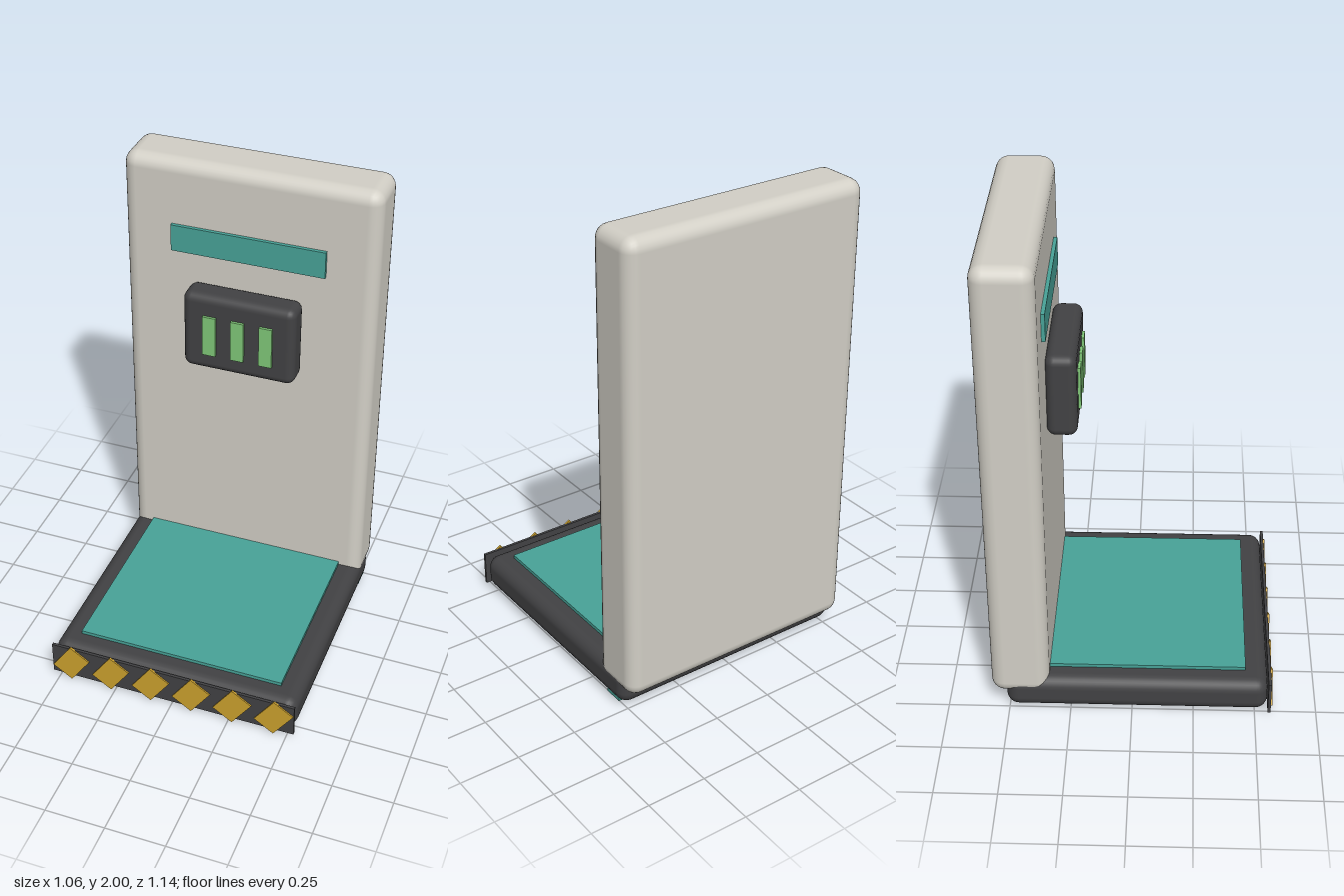
import * as THREE from 'three';
import { RoundedBoxGeometry } from 'three/addons/geometries/RoundedBoxGeometry.js';

const paint = (name, color) => {
  const m = new THREE.MeshStandardMaterial({ color });
  m.name = name;
  return m;
};

export function createModel() {
  const group = new THREE.Group();
  const shell = paint('warm grey shell', 0xd2cfc6);
  const dark = paint('charcoal', 0x424244);
  const teal = paint('teal', 0x48a398);
  const green = paint('indicator green', 0x80c878);
  const yellow = paint('hazard yellow', 0xcca12e);

  const add = (name, geometry, material, x, y, z) => {
    const mesh = new THREE.Mesh(geometry, material);
    mesh.name = name;
    mesh.position.set(x, y, z);
    group.add(mesh);
    return mesh;
  };
  const box = (w, h, d) => new THREE.BoxGeometry(w, h, d);
  const rounded = (w, h, d, r) => new RoundedBoxGeometry(w, h, d, 3, r);

  // Platform with its teal pad
  add('base', rounded(1.06, 0.145, 1.06, 0.05), dark, 0, 0.0925, 0.02);
  add('pad', box(0.88, 0.03, 0.88), teal, 0, 0.165, 0.02);
  // Small inlay showing at the lower rear edge
  add('rearInlay', box(0.03, 0.014, 0.08), teal, 0.507, 0.035, -0.43);

  // Upright back panel and its accent strip
  add('backPanel', rounded(1.06, 1.91, 0.235, 0.055), shell, 0, 1.045, -0.4525);
  add('accentStrip', box(0.645, 0.115, 0.03), teal, 0, 1.667, -0.335);

  // Control unit with three indicator bars
  add('controlUnit', rounded(0.475, 0.35, 0.12, 0.035), dark, 0, 1.315, -0.277);
  for (const x of [-0.12, 0, 0.12]) {
    add('indicatorBar', box(0.055, 0.18, 0.02), green, x, 1.31, -0.216);
  }

  // Front kick plate with slanted hazard stripes
  add('kickPlate', box(1.06, 0.145, 0.012), dark, 0, 0.0925, 0.558);
  for (let i = 0; i < 6; i++) {
    const stripe = add('hazardStripe', box(0.1, 0.146, 0.009), yellow, (i - 2.5) * 0.178, 0.089, 0.5655);
    stripe.rotation.z = -0.6;
  }
  return group;
}
